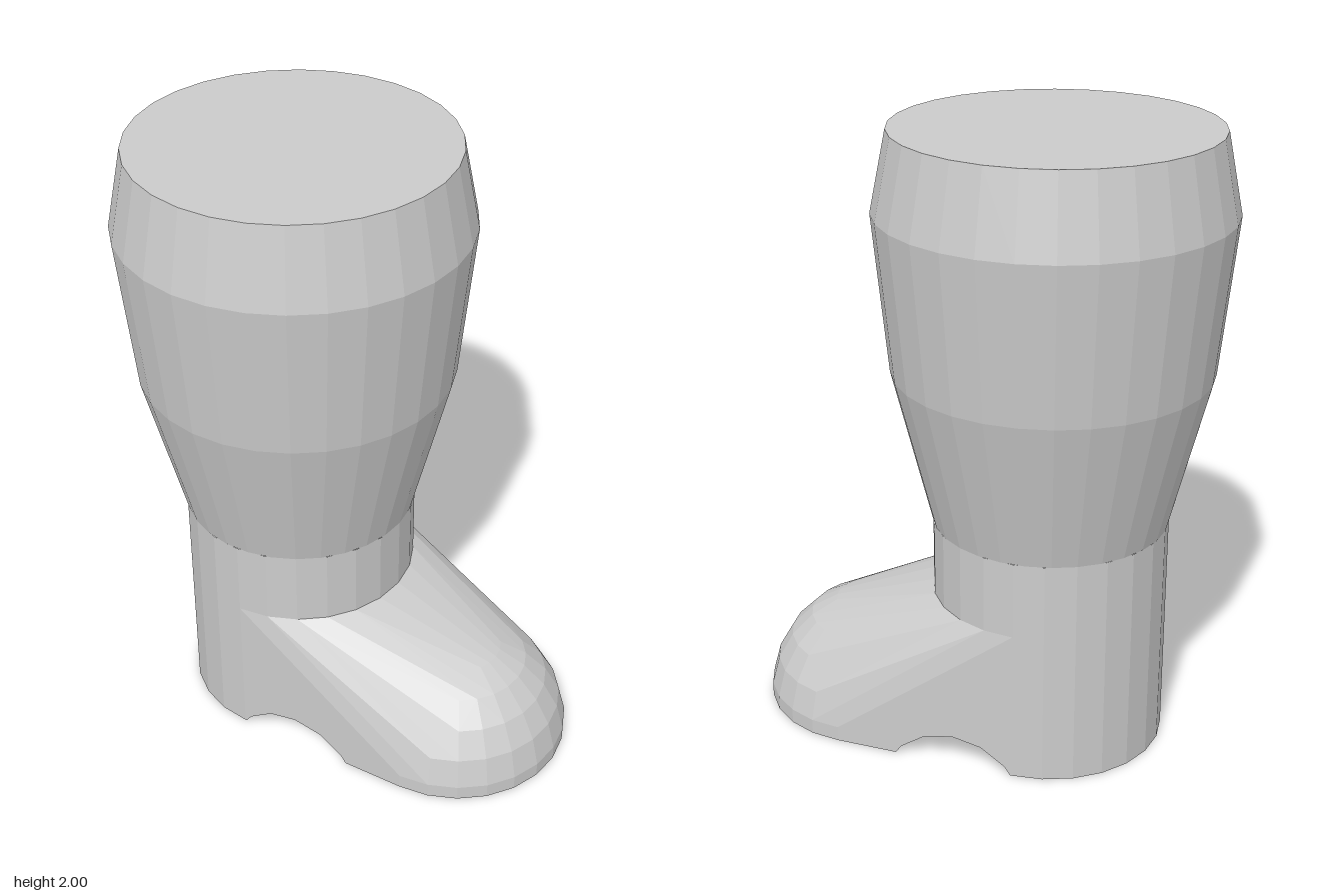
import * as THREE from 'three';
import { ConvexGeometry } from 'three/addons/geometries/ConvexGeometry.js';

const LEG_X = -0.211, TOE_X = 0.389, R = 0.375, TOE_R = R * Math.cos(Math.PI / 24);
const ANKLE_Y = 0.5, STEP = Math.PI / 12;

// Half width of the foot's flat sides, narrowing slightly to the toe
const sideZ = (x) => R + (TOE_R - R) * (x - LEG_X) / (TOE_X - LEG_X);

// Arch under the foot: top of a 16-sided round, clipped at the ground, heel to toe
function archPoints() {
  const cx = -0.011, pts = [];
  for (let i = -2; i <= 2; i++) {
    const a = i * Math.PI / 8;
    pts.push(new THREE.Vector2(cx + 0.25 * Math.sin(a), 0.25 * Math.cos(a) - 0.15));
  }
  return [new THREE.Vector2(cx - 0.195, 0), ...pts, new THREE.Vector2(cx + 0.195, 0)];
}

// Hull around the ankle drum and round toe, without its sole, top and flat sides
function footShell() {
  const pts = [];
  for (let i = 0; i < 24; i++) {
    const c = Math.cos(i * STEP), s = Math.sin(i * STEP);
    for (const y of [0, ANKLE_Y]) pts.push(new THREE.Vector3(LEG_X + R * c, y, R * s));
    pts.push(new THREE.Vector3(TOE_X + TOE_R * c, 0, TOE_R * s));
    for (let k = 0; k < 6; k++) {
      const e = (k + 0.5) * STEP, r = R * Math.cos(e);
      pts.push(new THREE.Vector3(TOE_X + r * c, R * Math.sin(e), r * s));
    }
  }
  const hull = new ConvexGeometry(pts);
  const p = hull.attributes.position, n = hull.attributes.normal, kept = [];
  for (let i = 0; i < p.count; i += 3) {
    if (Math.abs(n.getY(i)) > 0.999 || Math.abs(n.getZ(i)) > 0.9999) continue;
    for (let j = i; j < i + 3; j++) kept.push(p.getX(j), p.getY(j), p.getZ(j));
  }
  return fromTriangles(kept);
}

function fromTriangles(list) {
  const g = new THREE.BufferGeometry();
  g.setAttribute('position', new THREE.Float32BufferAttribute(list, 3));
  g.computeVertexNormals();
  return g;
}

// Flat side of the foot with the arch cut out
function sidePanel(arch) {
  const g = new THREE.ShapeGeometry(new THREE.Shape([
    new THREE.Vector2(LEG_X, 0), ...arch, new THREE.Vector2(TOE_X, 0),
    new THREE.Vector2(TOE_X, R * Math.sin(STEP / 2)), new THREE.Vector2(LEG_X, ANKLE_Y),
  ]));
  const p = g.attributes.position;
  for (let i = 0; i < p.count; i++) p.setZ(i, sideZ(p.getX(i)));
  g.computeVertexNormals();
  return g;
}

// Ceiling of the arch, running across the foot
function archCeiling(arch) {
  const out = [];
  for (let i = 0; i < arch.length - 1; i++) {
    const a = arch[i], b = arch[i + 1], za = sideZ(a.x), zb = sideZ(b.x);
    out.push(a.x, a.y, za, a.x, a.y, -za, b.x, b.y, -zb);
    out.push(a.x, a.y, za, b.x, b.y, -zb, b.x, b.y, zb);
  }
  return fromTriangles(out);
}

// Half-round sole patch ending in a straight edge at edgeX
function solePatch(cx, r, dir, edgeX) {
  const pts = [];
  for (let i = -6; i <= 6; i++) {
    pts.push(new THREE.Vector2(cx + dir * r * Math.cos(i * STEP), r * Math.sin(i * STEP)));
  }
  const z = sideZ(edgeX);
  pts.push(new THREE.Vector2(edgeX, z), new THREE.Vector2(edgeX, -z));
  return new THREE.ShapeGeometry(new THREE.Shape(pts)).rotateX(Math.PI / 2);
}

export function createModel() {
  const model = new THREE.Group();
  const grey = new THREE.MeshStandardMaterial({ color: 0xcccccc, flatShading: true });
  const thin = grey.clone();
  thin.side = THREE.DoubleSide;
  const add = (name, geometry, material = grey) => {
    const mesh = new THREE.Mesh(geometry, material);
    mesh.name = name;
    model.add(mesh);
    return mesh;
  };

  // Flared leg, closed at both ends
  const profile = [[0, 0.75], [R, 0.75], [0.5, 1.25], [0.55, 1.75], [0.5, 2], [0, 2]]
    .map(([r, y]) => new THREE.Vector2(r, y));
  add('leg', new THREE.LatheGeometry(profile, 30, Math.PI / 2)).position.x = LEG_X;

  // Straight ankle
  add('ankle', new THREE.CylinderGeometry(R, R, 0.25, 24, 1, true))
    .position.set(LEG_X, 0.625, 0);

  // Foot with arched underside
  const arch = archPoints();
  add('foot', footShell());
  add('leftFootSide', sidePanel(arch), thin);
  add('rightFootSide', sidePanel(arch).scale(1, 1, -1), thin);
  add('arch', archCeiling(arch));
  add('heelSole', solePatch(LEG_X, R, -1, arch[0].x), thin);
  add('toeSole', solePatch(TOE_X, TOE_R, 1, arch[arch.length - 1].x), thin);

  return model;
}
